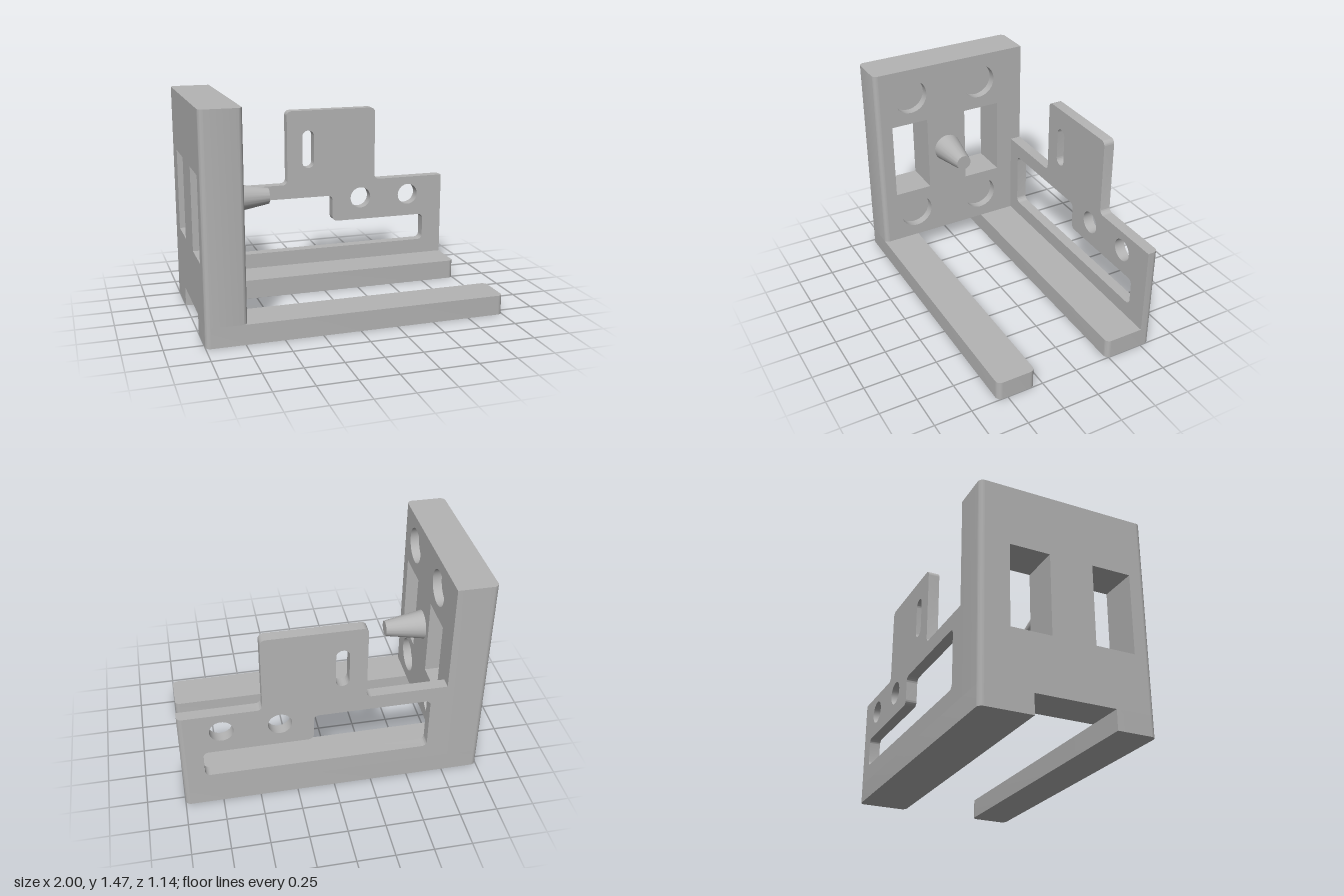
import * as THREE from 'three';
import { toCreasedNormals } from 'three/addons/utils/BufferGeometryUtils.js';

const R = 0.035; // common edge radius
const grey = new THREE.MeshStandardMaterial({ color: 0xb4b4b4 });
grey.name = 'grey';

// Closed outline from [x, y, radius] corners
function rounded(points, PathType = THREE.Shape) {
  const path = new PathType();
  const n = points.length;
  points.forEach(([x, y, r = 0], i) => {
    const p = new THREE.Vector2(x, y);
    const toward = (q, d) => p.clone().add(new THREE.Vector2(q[0] - x, q[1] - y).setLength(d));
    const prev = points[(i + n - 1) % n], next = points[(i + 1) % n];
    const a = toward(prev, r), b = toward(next, r);
    if (i === 0) path.moveTo(a.x, a.y);
    else path.lineTo(a.x, a.y);
    if (r > 0) {
      const c = toward(prev, r * 0.4477), d = toward(next, r * 0.4477);
      path.bezierCurveTo(c.x, c.y, d.x, d.y, b.x, b.y);
    }
  });
  path.closePath();
  return path;
}

function rect(x0, x1, y0, y1, PathType) {
  return rounded([[x0, y0], [x1, y0], [x1, y1], [x0, y1]], PathType);
}

function circle(x, y, r) {
  return new THREE.Path().absarc(x, y, r, 0, Math.PI * 2, false);
}

function extrude(shape, depth) {
  return new THREE.ExtrudeGeometry(shape, { depth, bevelEnabled: false, curveSegments: 18 });
}

export function createModel() {
  const group = new THREE.Group();
  const add = (name, geometry) => {
    const mesh = new THREE.Mesh(toCreasedNormals(geometry, 0.6), grey);
    mesh.name = name;
    group.add(mesh);
  };
  // Upright prism from [x, z, radius] corners
  const prism = (name, points, y0, y1) => {
    const shape = rounded(points.map(([x, z, r]) => [x, -z, r]));
    add(name, extrude(shape, y1 - y0).rotateX(-Math.PI / 2).translate(0, y0, 0));
  };

  const legTop = 0.133, wallX = -0.735, wallTop = 1.47, Z = 0.57, plateZ = -0.495;

  // Two base legs
  prism('frontLeg', [[-1, Z, R], [1, Z, R], [1, 0.305, R], [-1, 0.305]], 0, legTop);
  prism('backLeg', [[-1, -0.23], [1, -0.23, R], [1, -Z, R], [-1, -Z, R]], 0, legTop);

  // Wall: outer layer has the windows, inner layer also the round pockets
  const edge = Z - R, pocketDepth = 0.06;
  const wallLayer = (name, x0, x1, pockets) => {
    const shape = rect(-edge, edge, legTop, wallTop);
    shape.holes.push(rect(-0.457, -0.19, 0.515, 1.063, THREE.Path));
    shape.holes.push(rect(0.105, 0.375, 0.515, 1.063, THREE.Path));
    if (pockets) {
      for (const z of [0.308, -0.225]) {
        for (const y of [0.335, 1.268]) shape.holes.push(circle(-z, y, 0.122));
      }
    }
    add(name, extrude(shape, x1 - x0).rotateY(Math.PI / 2).translate(x0, 0, 0));
  };
  wallLayer('wallOuterLayer', -1, wallX - pocketDepth, false);
  wallLayer('wallInnerLayer', wallX - pocketDepth, wallX, true);

  // Rounded vertical edges of the wall
  prism('wallFrontEdge', [[-1, Z, R], [wallX, Z, R], [wallX, edge], [-1, edge]], legTop, wallTop);
  prism('wallBackEdge', [[-1, -edge], [wallX, -edge], [wallX, -Z], [-1, -Z, R]], legTop, wallTop);

  // Back plate with raised tab and cut-outs
  const top = 0.735, tabTop = 1.27;
  const plate = rounded([
    [wallX, legTop], [1 - R, legTop], [1 - R, top], [0.465, top, R], [0.465, tabTop, R],
    [-0.2, tabTop, R], [-0.2, top, R], [wallX, top],
  ]);
  plate.holes.push(
    rounded([
      [-0.63, 0.24, R], [0.855, 0.24, R], [0.855, 0.438, R], [0.14, 0.438, R],
      [0.14, 0.632, R], [-0.63, 0.632, R],
    ], THREE.Path),
    rounded([
      [-0.086, 0.85, 0.0425], [0, 0.85, 0.0425], [0, 1.125, 0.0425], [-0.086, 1.125, 0.0425],
    ], THREE.Path),
    circle(0.357, 0.602, 0.077),
    circle(0.73, 0.602, 0.077),
  );
  add('backPlate', extrude(plate, plateZ + Z).translate(0, 0, -Z));
  prism('backPlateEnd', [[1 - R, plateZ], [1, plateZ], [1, -Z, R], [1 - R, -Z]], legTop, top);

  // Tapered peg on the wall
  const length = 0.265;
  add('peg', new THREE.CylinderGeometry(0.053, 0.1, length, 48)
    .rotateZ(-Math.PI / 2).translate(wallX + length / 2, 0.802, 0.038));

  return group;
}
